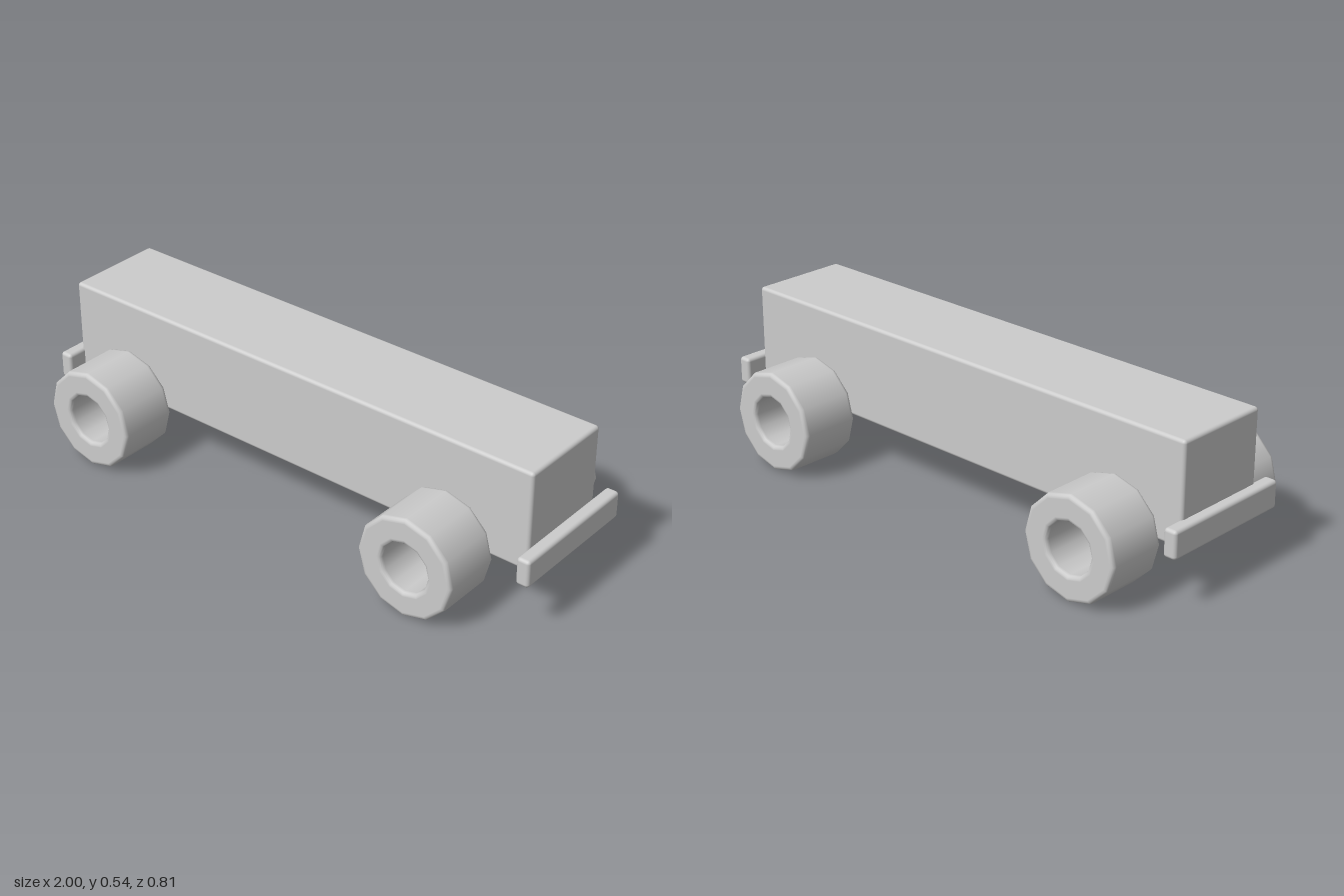
import * as THREE from 'three';
import { RoundedBoxGeometry } from 'three/addons/geometries/RoundedBoxGeometry.js';

const material = new THREE.MeshStandardMaterial({ color: 0xcccccc });

// Box with softened edges, given by its min and max corners
function softBox(name, min, max, radius) {
  const size = max.map((v, i) => v - min[i]);
  const mesh = new THREE.Mesh(new RoundedBoxGeometry(...size, 3, radius), material);
  mesh.name = name;
  mesh.position.set(...max.map((v, i) => (v + min[i]) / 2));
  return mesh;
}

// Twelve-sided ring with rounded rims, turned so its axle runs along z
function wheelGeometry(outer, inner, width, bevel) {
  const h = width / 2;
  const points = [];
  // Corner centres with the start angle of each quarter round
  const corners = [
    [outer - bevel, -h + bevel, -90],
    [outer - bevel, h - bevel, 0],
    [inner + bevel, h - bevel, 90],
    [inner + bevel, -h + bevel, 180],
  ];
  for (const [r, y, start] of corners) {
    const at = (deg, slide) => {
      const a = THREE.MathUtils.degToRad(deg);
      const t = a + Math.PI / 2;
      points.push(new THREE.Vector2(
        r + bevel * Math.cos(a) + slide * Math.cos(t),
        y + bevel * Math.sin(a) + slide * Math.sin(t)));
    };
    // Short support steps keep the flat faces flat
    at(start, -0.003);
    for (let i = 0; i <= 3; i++) at(start + i * 30, 0);
    at(start + 90, 0.003);
  }
  points.push(points[0].clone());
  return new THREE.LatheGeometry(points, 12).rotateX(Math.PI / 2);
}

export function createModel() {
  const model = new THREE.Group();
  model.name = 'wagon';

  // Long body block
  model.add(softBox('body', [-0.965, 0.185, -0.177], [0.95, 0.54, 0.183], 0.012));

  // Bumper bar at each end
  model.add(softBox('rightBumper', [-1, 0.183, -0.248], [-0.952, 0.281, 0.254], 0.012));
  model.add(softBox('leftBumper', [0.952, 0.183, -0.248], [1, 0.281, 0.254], 0.012));

  // Four hollow wheels
  const geometry = wheelGeometry(0.18, 0.09, 0.219, 0.012);
  for (const [side, x] of [['right', -0.715], ['left', 0.645]]) {
    for (const [end, z] of [['Front', 0.296], ['Back', -0.294]]) {
      const wheel = new THREE.Mesh(geometry, material);
      wheel.name = `${side}${end}Wheel`;
      wheel.position.set(x, 0.181, z);
      model.add(wheel);
    }
  }
  return model;
}
